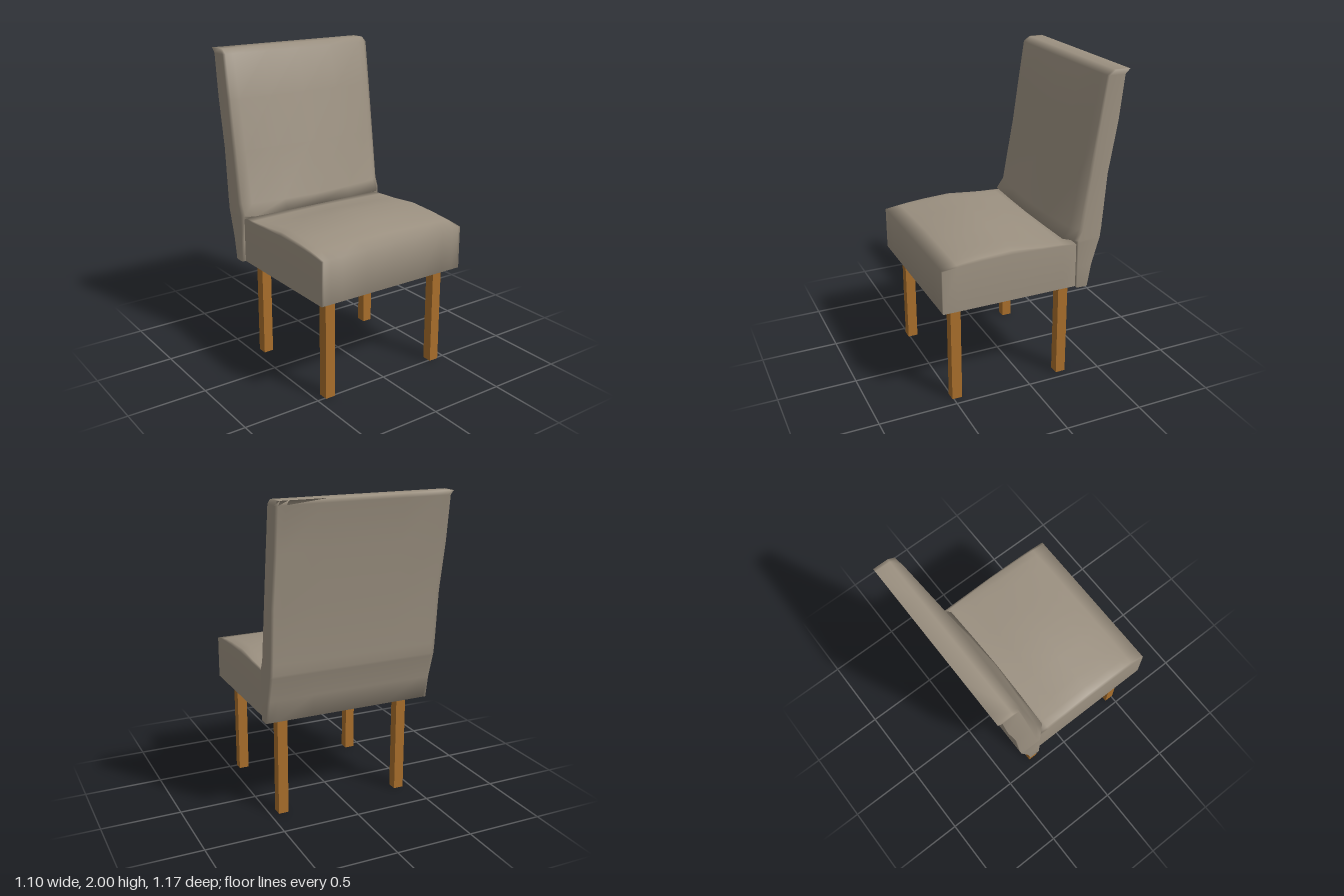
import * as THREE from 'three';
import { mergeVertices } from 'three/addons/utils/BufferGeometryUtils.js';

// Smooth closed block: place(i, j, k) gives the position of each surface grid point
function softBlock(nx, ny, nz, place) {
  let g = new THREE.BoxGeometry(nx, ny, nz, nx, ny, nz);
  const p = g.attributes.position;
  for (let n = 0; n < p.count; n++) {
    const i = Math.round(p.getX(n) + nx / 2);
    const j = Math.round(p.getY(n) + ny / 2);
    const k = Math.round(p.getZ(n) + nz / 2);
    p.setXYZ(n, ...place(i, j, k));
  }
  g.deleteAttribute('normal');
  g.deleteAttribute('uv');
  g = mergeVertices(g, 1e-4);
  g.computeVertexNormals();
  return g;
}

const mirrored = (half) => [...half.map((x) => -x), 0, ...half.slice().reverse()];

function seatGeometry() {
  const cols = mirrored([0.525, 0.51, 0.46, 0.38, 0.2]);
  const halfCrown = [0, 0.3, 0.46, 0.6, 0.82];
  const crown = [...halfCrown, 1, ...halfCrown.slice().reverse()];
  // z, height at the side edge, height along the middle
  const rows = [
    [-0.29, 0.94, 0.95], [-0.2, 0.945, 0.957], [-0.06, 0.95, 0.975],
    [0.14, 0.957, 1.02], [0.33, 0.953, 0.997], [0.43, 0.948, 0.978],
    [0.49, 0.943, 0.963], [0.585, 0.93, 0.932],
  ];
  return softBlock(cols.length - 1, 1, rows.length - 1, (i, j, k) => {
    const [z, edge, mid] = rows[k];
    const x = cols[i];
    // the underside is recessed inside the frame
    const recessed = Math.abs(x) < 0.4 && z > -0.21 && z < 0.44;
    const y = j ? edge + (mid - edge) * crown[i] : recessed ? 0.715 : 0.655;
    return [x, y, z];
  });
}

function backrestGeometry() {
  const cols = mirrored([0.55, 0.53, 0.48, 0.25]);
  // y, back z, then front z in the middle, near the side and at the side edge
  const rows = [
    [0.655, -0.36, -0.29, -0.29, -0.29],
    [0.8, -0.385, -0.29, -0.29, -0.29],
    [0.955, -0.43, -0.285, -0.285, -0.29],
    [0.972, -0.436, -0.205, -0.217, -0.29],
    [1.04, -0.444, -0.222, -0.265, -0.318],
    [1.38, -0.47, -0.3, -0.325, -0.365],
    [1.7, -0.525, -0.373, -0.386, -0.41],
    [1.97, -0.555, -0.435, -0.44, -0.45],
    [2.0, -0.585, -0.49, -0.49, -0.49],
  ];
  return softBlock(cols.length - 1, rows.length - 1, 1, (i, j, k) => {
    const [y, back, mid, near, edge] = rows[j];
    const x = cols[i], a = Math.abs(x);
    const front = a <= 0.48
      ? mid + (near - mid) * (a / 0.48) ** 1.5
      : near + (edge - near) * (a - 0.48) / 0.07;
    return [x, y, k ? front : back];
  });
}

export function createModel() {
  const fabric = new THREE.MeshStandardMaterial({ color: 0x9c9181 });
  fabric.name = 'taupe upholstery';
  const wood = new THREE.MeshStandardMaterial({ color: 0xa86e2b });
  wood.name = 'brown wood';

  const chair = new THREE.Group();
  chair.name = 'chair';
  const add = (name, geometry, material, x = 0, y = 0, z = 0) => {
    const mesh = new THREE.Mesh(geometry, material);
    mesh.name = name;
    mesh.position.set(x, y, z);
    chair.add(mesh);
  };

  add('seat', seatGeometry(), fabric);
  add('backrest', backrestGeometry(), fabric);

  // Legs and the rails between them
  const t = 0.065, legX = 0.414, frontZ = 0.477, backZ = -0.25;
  const midZ = (frontZ + backZ) / 2;
  const leg = new THREE.BoxGeometry(t, 0.7, t);
  const sideRail = new THREE.BoxGeometry(t, 0.07, frontZ - backZ - t);
  const crossRail = new THREE.BoxGeometry(legX * 2 - t, 0.07, t);
  for (const [side, s] of [['left', 1], ['right', -1]]) {
    add(side + 'FrontLeg', leg, wood, s * legX, 0.35, frontZ);
    add(side + 'BackLeg', leg, wood, s * legX, 0.35, backZ);
    add(side + 'Rail', sideRail, wood, s * legX, 0.687, midZ);
  }
  add('frontRail', crossRail, wood, 0, 0.687, frontZ);
  add('backRail', crossRail, wood, 0, 0.687, backZ);
  return chair;
}
